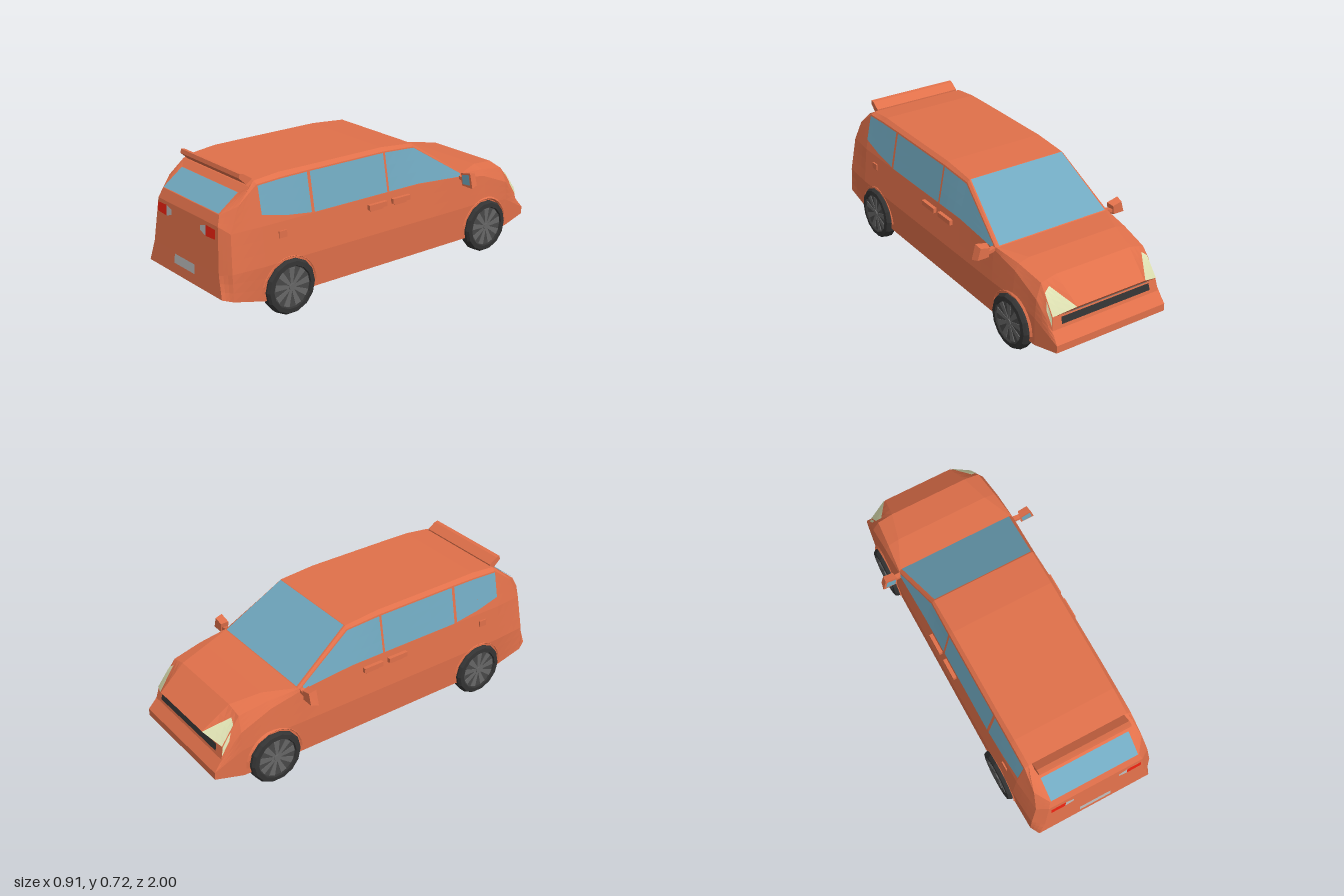
import * as THREE from 'three';
import { mergeGeometries } from 'three/addons/utils/BufferGeometryUtils.js';

const mat = (color) => new THREE.MeshStandardMaterial({ color, flatShading: true });
const V = (p) => new THREE.Vector3(...p);
const flip = ([x, y, z]) => [-x, y, z];

// bilinear point on a four-cornered cell
const at = (c, u, v) => V(c[0]).lerp(V(c[1]), u).lerp(V(c[3]).lerp(V(c[2]), u), v);

// four-cornered panel of n x n facets, lifted off its surface by `lift`
function panel(c, lift = 0, n = 3) {
  const nor = at(c, 1, 0.5).sub(at(c, 0, 0.5)).cross(at(c, 0.5, 1).sub(at(c, 0.5, 0))).normalize().multiplyScalar(lift);
  const pos = [];
  for (let i = 0; i < n; i++) for (let j = 0; j < n; j++) {
    const q = [[i, j], [i + 1, j], [i + 1, j + 1], [i, j + 1]].map(([u, v]) => at(c, u / n, v / n).add(nor));
    for (const k of [0, 1, 2, 0, 2, 3]) pos.push(...q[k].toArray());
  }
  const g = new THREE.BufferGeometry();
  g.setAttribute('position', new THREE.Float32BufferAttribute(pos, 3));
  g.computeVertexNormals();
  return g;
}
const mirrorPanel = (c) => [c[1], c[0], c[3], c[2]].map(flip);
const sub = (c, uv) => uv.map(([u, v]) => at(c, u, v).toArray());

// half sections, tail to nose: underside, flank, belt, roof edge, top
const tail = [
  [[.325, .16, 1], [.29, .27, .99], [.265, .50, .97], [.25, .55, .95], [.25, .635, .835]],
  [[.35, .145, .95], [.345, .28, .95], [.318, .47, .935], [.302, .59, .88], [.285, .665, .805]],
];
// the cabin keeps one flank and belt; only the roof varies
const cabinSection = ([z, edgeX, edgeY, topX, topY]) =>
  [[.35, .10, z], [.358, .28, z], [.337, .475, z], [edgeX, edgeY, z], [topX, topY, z]];
const cabin = [
  [.77, .295, .672, .272, .685],
  [.63, .296, .68, .275, .70],
  [.475, .297, .682, .278, .70],
  [0, .298, .682, .28, .70],
  [-.2, .294, .668, .282, .683],
].map(cabinSection);
const nose = [
  [[.35, .10, -.51], [.358, .28, -.51], [.342, .455, -.5], [.338, .468, -.51], [.328, .468, -.52]],
  [[.35, .10, -.68], [.355, .28, -.68], [.34, .42, -.68], [.32, .455, -.68], [.26, .47, -.68]],
  [[.345, .10, -.85], [.345, .25, -.85], [.338, .35, -.85], [.305, .425, -.84], [.22, .445, -.84]],
  [[.325, .13, -1], [.325, .17, -1], [.318, .225, -.955], [.31, .29, -.94], [.2, .335, -.985]],
];
const S = [...tail, ...cabin, ...nose];
const cell = (i, j) => [S[i][j], S[i + 1][j], S[i + 1][j + 1], S[i][j + 1]];
const topCell = (i) => [S[i][4], S[i + 1][4], flip(S[i + 1][4]), flip(S[i][4])];
const tailCell = (j) => [flip(S[0][j]), S[0][j], S[0][j + 1], flip(S[0][j + 1])];
const noseCell = (j) => { const s = S[S.length - 1]; return [s[j], flip(s[j]), flip(s[j + 1]), s[j + 1]]; };
const rect = (u0, u1, v0, v1) => [[u0, v0], [u1, v0], [u1, v1], [u0, v1]];
const outline = (points) => new THREE.Shape(points.map((p) => new THREE.Vector2(...p)));

// mirrored copy across x with the corner order turned round
function mirrored(geo) {
  const g = geo.index ? geo.toNonIndexed() : geo;
  const src = g.attributes.position, pos = [];
  for (let t = 0; t < src.count; t += 3) for (const k of [t, t + 2, t + 1]) pos.push(-src.getX(k), src.getY(k), src.getZ(k));
  const m = new THREE.BufferGeometry();
  m.setAttribute('position', new THREE.Float32BufferAttribute(pos, 3));
  m.computeVertexNormals();
  return m;
}

export function createModel() {
  const car = new THREE.Group();
  car.name = 'car';
  const paint = mat(0xe0704a), glass = mat(0x70a8bf), black = mat(0x333333), rimMat = mat(0x666666);
  const grey = mat(0xbbbbbb), lampMat = mat(0xe0e3b4), red = mat(0xee2211), hubMat = mat(0x484848);
  const add = (name, geo, m, parent = car) => {
    const mesh = new THREE.Mesh(geo, m);
    mesh.name = name;
    parent.add(mesh);
  };
  const addPair = (name, c, m) => {
    add(name + 'Left', panel(c, .004), m);
    add(name + 'Right', panel(mirrorPanel(c), .004), m);
  };

  // body shell
  const shell = [];
  for (let i = 0; i < S.length - 1; i++) {
    for (let j = 0; j < 4; j++) shell.push(panel(cell(i, j)), panel(mirrorPanel(cell(i, j))));
    shell.push(panel(topCell(i)));
    shell.push(panel([flip(S[i][0]), flip(S[i + 1][0]), S[i + 1][0], S[i][0]]));
  }
  for (let j = 0; j < 4; j++) shell.push(panel(tailCell(j)), panel(noseCell(j)));
  add('body', mergeGeometries(shell), paint);

  // windows
  add('windshield', panel(sub(topCell(6), rect(.01, .99, .01, .99)), .004), glass);
  add('rearWindow', panel(sub(tailCell(3), rect(.01, .99, .02, .97)), .004), glass);
  addPair('quarterWindowRear', sub(cell(2, 2), [[.02, .28], [1, .12], [1, .97], [.02, .97]]), glass);
  addPair('quarterWindowFront', sub(cell(3, 2), [[0, .12], [.95, .03], [.95, .97], [0, .97]]), glass);
  addPair('rearDoorWindow', sub(cell(4, 2), rect(.02, .985, .02, .97)), glass);
  addPair('frontDoorWindow', sub(cell(5, 2), rect(.03, 1, .02, .97)), glass);
  addPair('frontCornerWindow', sub(cell(6, 2), [[0, .02], [.96, .1], [.96, .9], [0, .97]]), glass);

  // lamps, grille, plate
  addPair('headlight', sub(cell(9, 3), [[.3, .02], [1, .02], [1, .98], [.18, .35]]), lampMat);
  addPair('headlightSide', sub(cell(9, 2), [[.6, .55], [1, .3], [1, 1], [.5, 1]]), lampMat);
  add('grille', panel(sub(noseCell(3), rect(.04, .96, .15, .8)), .004), grey);
  add('airIntake', panel(sub(noseCell(2), rect(.08, .92, .3, .85)), .004), black);
  addPair('taillight', [[.175, .432, .978], [.255, .437, .978], [.255, .483, .974], [.175, .486, .974]], red);
  addPair('reverseLight', [[.128, .448, .977], [.175, .432, .978], [.175, .486, .974], [.128, .472, .975]], grey);
  add('licensePlate', panel([[-.09, .215, .996], [.09, .215, .996], [.09, .263, .992], [-.09, .263, .992]], .004), grey);

  // roof spoiler, side profile extruded across
  const profile = outline([[-.77, .672], [-.80, .668], [-.84, .705], [-.835, .725], [-.815, .722], [-.77, .692]]);
  const spoiler = new THREE.ExtrudeGeometry(profile, { depth: .51, bevelEnabled: false });
  add('spoiler', spoiler.translate(0, 0, -.255).rotateY(Math.PI / 2), paint);

  const mirrorShape = outline([[.375, .42], [.453, .42], [.432, .50], [.366, .485]]);
  const mirrorGlassShape = outline([[.384, .43], [.438, .435], [.425, .49], [.374, .478]]);
  for (const s of [1, -1]) {
    // mirrors, handles, fuel flap
    const side = new THREE.Group();
    side.name = s > 0 ? 'leftSideFittings' : 'rightSideFittings';
    car.add(side);
    const fit = (name, geo, m) => add(name, s > 0 ? geo : mirrored(geo), m, side);
    const box = (w, h, d, x, y, z) => new THREE.BoxGeometry(w, h, d).translate(x, y, z);
    const housing = new THREE.ExtrudeGeometry(mirrorShape, { depth: .04, bevelEnabled: false }).translate(0, 0, -.52);
    const hp = housing.attributes.position;
    for (let i = 0; i < hp.count; i++) if (hp.getZ(i) < -.5) {
      hp.setXYZ(i, .41 + (hp.getX(i) - .41) * .8, .46 + (hp.getY(i) - .46) * .75, hp.getZ(i));
    }
    fit('mirrorHousing', housing, paint);
    fit('mirrorGlass', new THREE.ShapeGeometry(mirrorGlassShape).translate(0, 0, -.477), glass);
    fit('mirrorArm', new THREE.BoxGeometry(.06, .018, .025).rotateZ(-.2).translate(.355, .452, -.50), paint);
    for (const z of [.08, -.075]) {
      fit('doorHandle', box(.02, .026, .115, .35, .428, z), paint);
      fit('handleRecess', box(.008, .012, .08, .344, .408, z), paint);
    }
    fit('fuelFlap', box(.012, .035, .045, .343, .415, .66), paint);

    // wheels and arch lips
    for (const z of [.63, -.675]) {
      const wheel = new THREE.Group();
      wheel.name = (s > 0 ? 'left' : 'right') + (z > 0 ? 'RearWheel' : 'FrontWheel');
      const tireProfile = [[0, -.03], [.133, -.03], [.143, -.022], [.143, .014], [.133, .028], [.11, .03], [.105, .018]];
      const tire = new THREE.LatheGeometry(tireProfile.map((p) => new THREE.Vector2(...p)), 14);
      add('tire', tire.rotateZ(-Math.PI / 2), black, wheel);
      add('rim', new THREE.CylinderGeometry(.108, .108, .03, 14).rotateZ(Math.PI / 2).translate(.005, 0, 0), hubMat, wheel);
      for (let k = 0; k < 9; k++) {
        const spoke = new THREE.CylinderGeometry(.024, .008, .09, 4, 1).rotateY(Math.PI / 4).scale(.25, 1, 1);
        add('spoke', spoke.translate(.02, .055, 0).rotateX(k * Math.PI * 2 / 9), rimMat, wheel);
      }
      add('hubCap', new THREE.CylinderGeometry(.018, .018, .012, 10).rotateZ(Math.PI / 2).translate(.021, 0, 0), rimMat, wheel);
      wheel.position.set(s * .349, .143, z);
      wheel.rotation.y = s > 0 ? 0 : Math.PI;
      car.add(wheel);
      const lip = new THREE.TorusGeometry(.156, .009, 4, 14, Math.PI).rotateY(Math.PI / 2);
      add('wheelArch', lip.translate(s * .35, .14, z), paint);
    }
  }
  return car;
}
